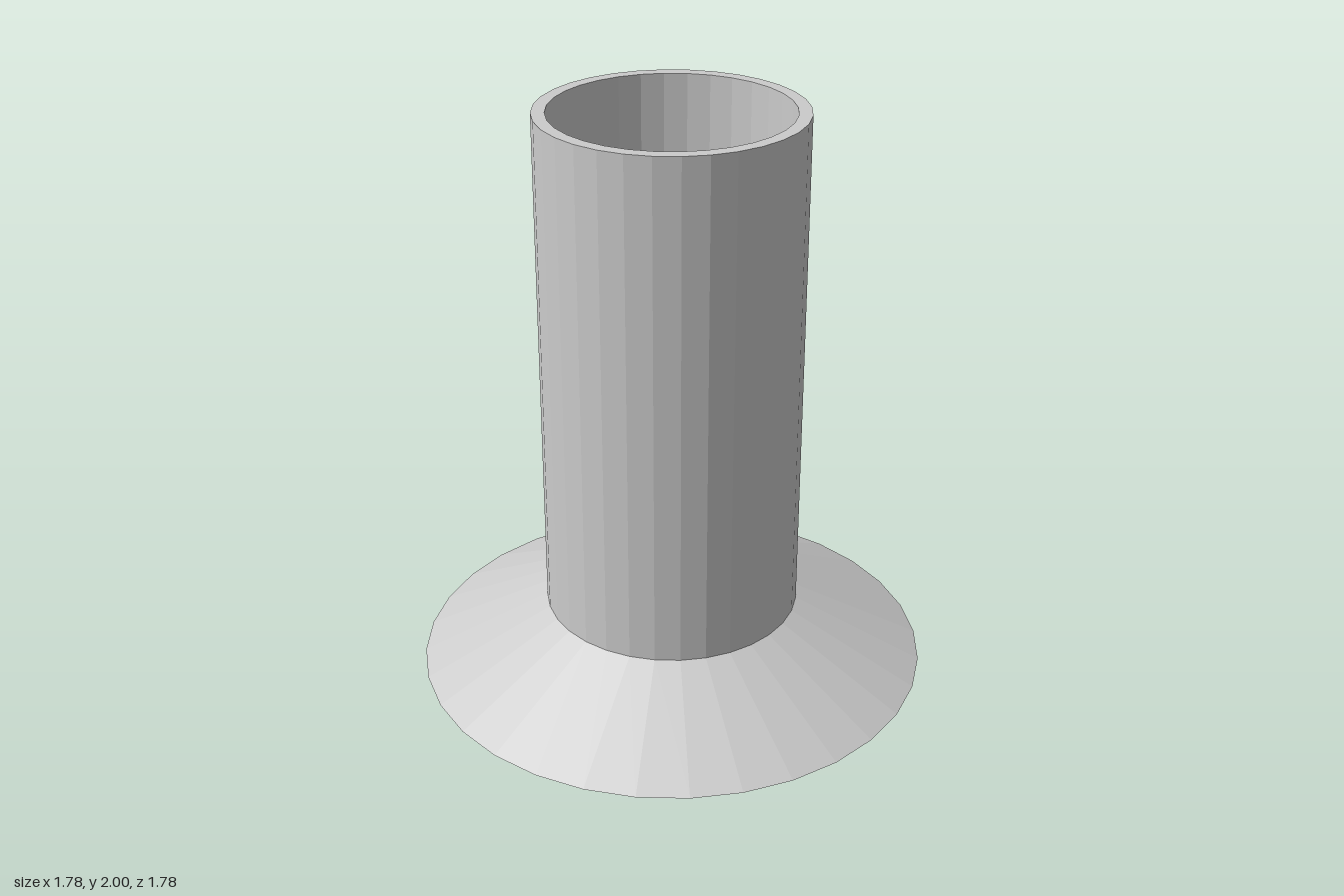
import * as THREE from 'three';

const SIDES = 32;
const UNIT = 2 / 45; // overall height is 45 units

export function createModel() {
  const group = new THREE.Group();
  group.name = 'tubeHolder';
  const material = new THREE.MeshStandardMaterial({ color: 0xcccccc, flatShading: true });

  // Revolve a [radius, height] profile, ordered upwards along the outside
  const addLathe = (name, profile) => {
    const points = profile.map(([r, y]) => new THREE.Vector2(r * UNIT, y * UNIT));
    const mesh = new THREE.Mesh(new THREE.LatheGeometry(points, SIDES), material);
    mesh.name = name;
    group.add(mesh);
  };

  // Solid conical foot; its flat top is the floor of the tube
  addLathe('conicalBase', [[0, 0], [20, 0], [10, 5], [9, 5], [0, 5]]);

  // Open-topped tube: outer wall, rim, inner wall
  addLathe('tube', [[10, 5], [10, 45], [9, 45], [9, 5]]);

  return group;
}
